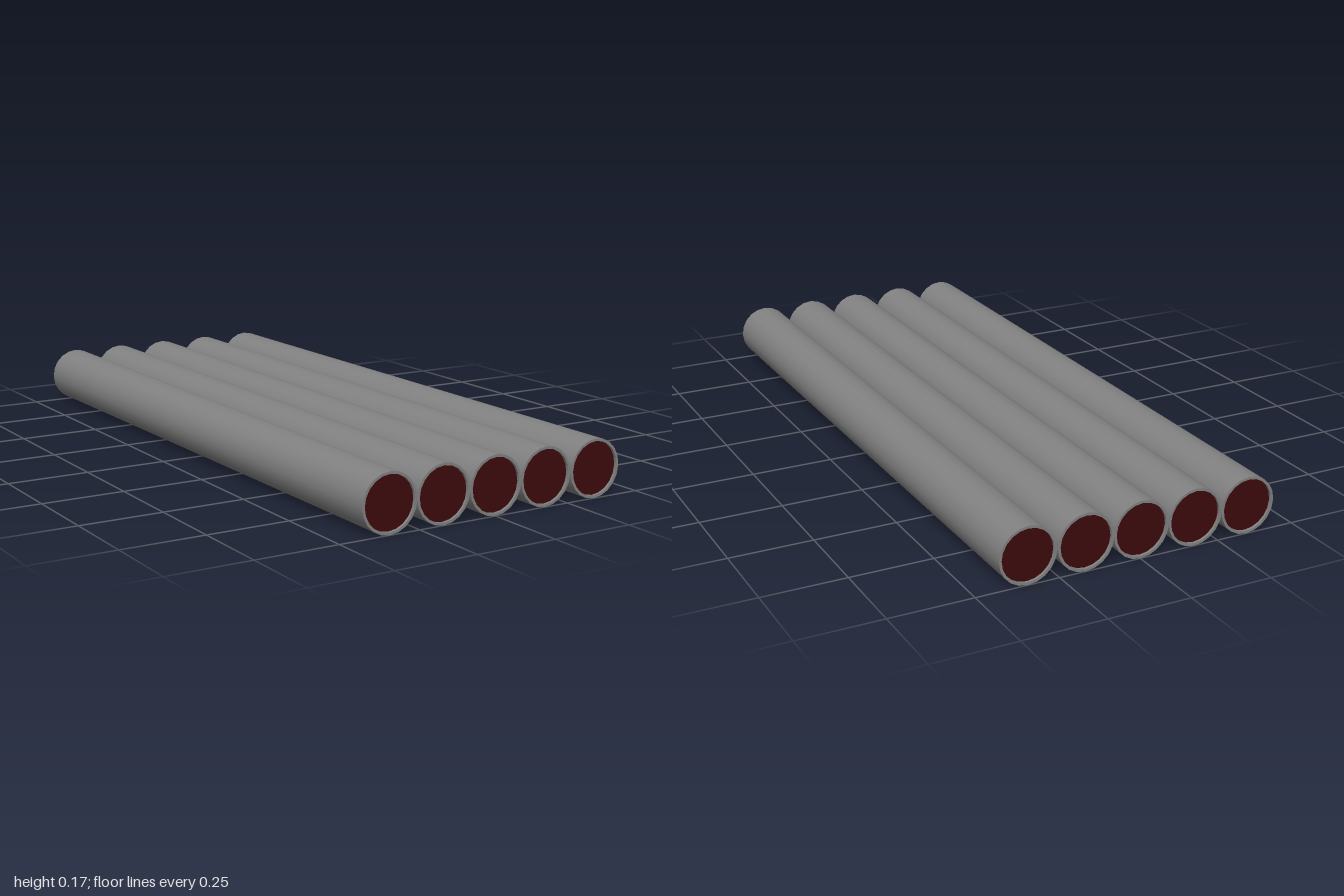
import * as THREE from 'three';

const LENGTH = 2, OUTER = 0.0863, INNER = 0.0785, SIDES = 20, RECESS = 0.008;
const CENTRES = [-0.345, -0.173, -0.001, 0.1705, 0.345];

export function createModel() {
  const model = new THREE.Group();
  model.name = 'pipeRow';
  const grey = new THREE.MeshStandardMaterial({ color: 0x828282 });
  const greyInside = new THREE.MeshStandardMaterial({ color: 0x828282, side: THREE.DoubleSide });
  const darkRed = new THREE.MeshStandardMaterial({ color: 0x3e0b0c });

  // shared geometries, lying along z
  const tube = (radius, length, open) =>
    new THREE.CylinderGeometry(radius, radius, length, SIDES, 1, open).rotateX(Math.PI / 2);
  const wall = tube(OUTER, LENGTH, true);
  const lining = tube(INNER, LENGTH, true);
  const core = tube(INNER - 0.0003, LENGTH - 2 * RECESS, false);
  const rim = new THREE.RingGeometry(INNER, OUTER, SIDES, 1);

  const add = (parent, name, geometry, material) => {
    const mesh = new THREE.Mesh(geometry, material);
    mesh.name = name;
    parent.add(mesh);
    return mesh;
  };

  CENTRES.forEach((x, i) => {
    const pipe = new THREE.Group();
    pipe.name = `pipe${i + 1}`;
    pipe.position.set(x, OUTER, 0);
    add(pipe, 'pipeWall', wall, grey);
    add(pipe, 'pipeLining', lining, greyInside);
    // core set slightly back from both ends
    add(pipe, 'pipeCore', core, darkRed);
    // rims around the core at both ends
    add(pipe, 'frontRim', rim, grey).position.z = LENGTH / 2;
    const back = add(pipe, 'backRim', rim, grey);
    back.position.z = -LENGTH / 2;
    back.rotation.y = Math.PI;
    model.add(pipe);
  });
  return model;
}
